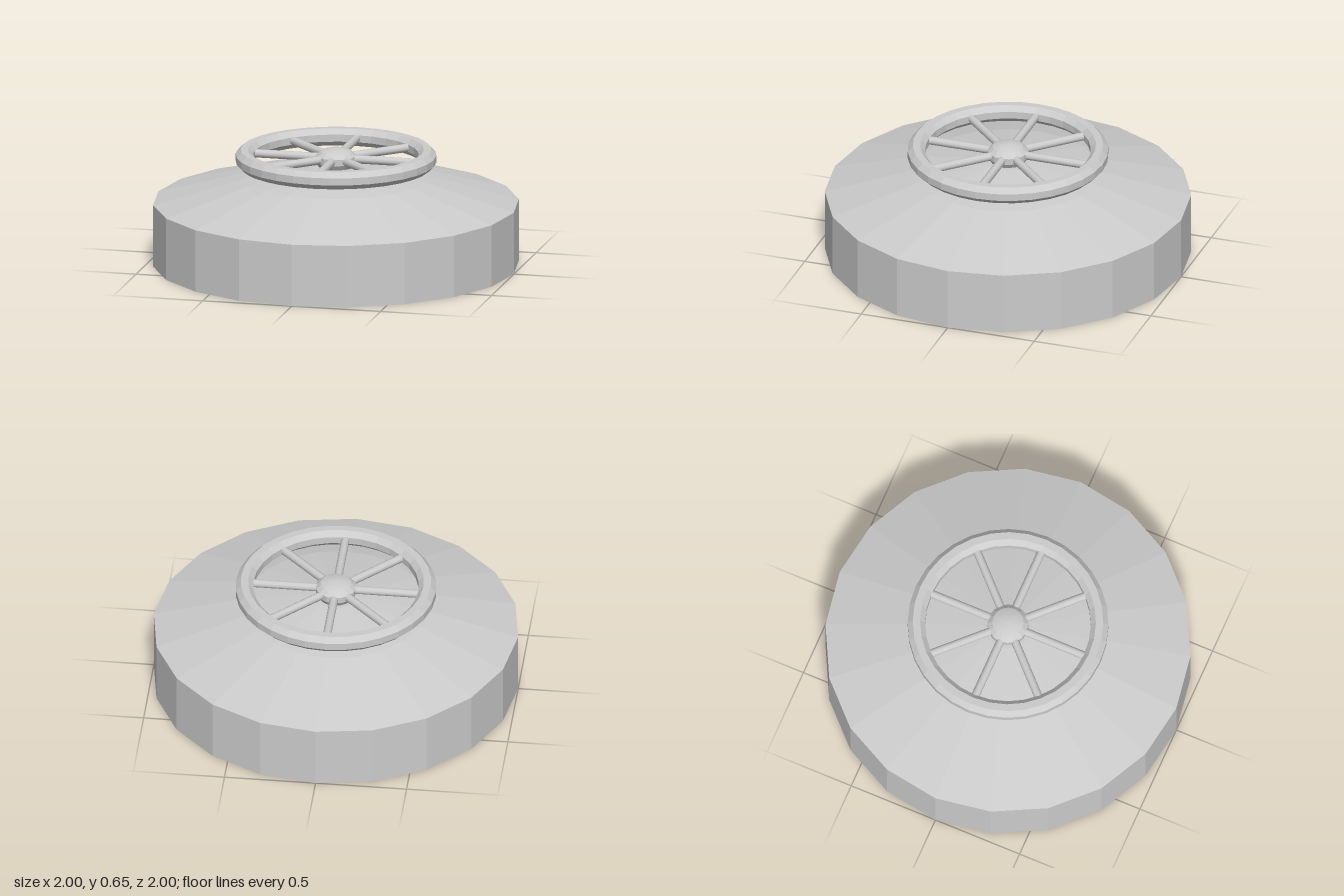
import * as THREE from 'three';

const SPOKES = 8;
const WHEEL_Y = 0.593;

export function createModel() {
  const model = new THREE.Group();
  model.name = 'hatchWithHandwheel';
  const faceted = new THREE.MeshStandardMaterial({ color: 0xcccccc, flatShading: true });
  const smooth = new THREE.MeshStandardMaterial({ color: 0xcccccc });

  const add = (parent, name, geometry, material) => {
    const mesh = new THREE.Mesh(geometry, material);
    mesh.name = name;
    parent.add(mesh);
    return mesh;
  };
  const lathe = (points, segments) =>
    new THREE.LatheGeometry(points.map(([r, y]) => new THREE.Vector2(r, y)), segments);

  // Twenty-sided drum with a shallow domed lid
  add(model, 'hatchBody', lathe(
    [[0, 0], [1, 0], [1, 0.345], [0.5, 0.485], [0.12, 0.545], [0, 0.548]], 20), faceted);

  const wheel = new THREE.Group();
  wheel.name = 'handwheel';
  wheel.position.y = WHEEL_Y;
  model.add(wheel);

  // Rim with an octagonal cross-section, flat on top and bottom
  const section = [];
  for (let i = 0; i <= 8; i++) {
    const a = (i + 0.5) * Math.PI / 4;
    section.push([0.5 + 0.052 * Math.cos(a), 0.052 * Math.sin(a)]);
  }
  add(wheel, 'rim', lathe(section, 32), faceted);

  // Hub with a rounded cap
  add(wheel, 'hub', lathe(
    [[0, -0.055], [0.09, -0.055], [0.112, -0.02], [0.112, 0.015], [0.085, 0.04]], 16), faceted);
  add(wheel, 'hubCap', lathe(
    [[0.085, 0.04], [0.06, 0.049], [0.03, 0.055], [0, 0.057]], 16), smooth);

  // Spokes running from the hub into the rim
  const spokeGeometry = new THREE.CylinderGeometry(0.023, 0.023, 0.4, 10)
    .rotateZ(Math.PI / 2).translate(0.27, 0, 0);
  for (let i = 0; i < SPOKES; i++) {
    add(wheel, `spoke${i + 1}`, spokeGeometry, smooth).rotation.y = i * 2 * Math.PI / SPOKES;
  }
  return model;
}
